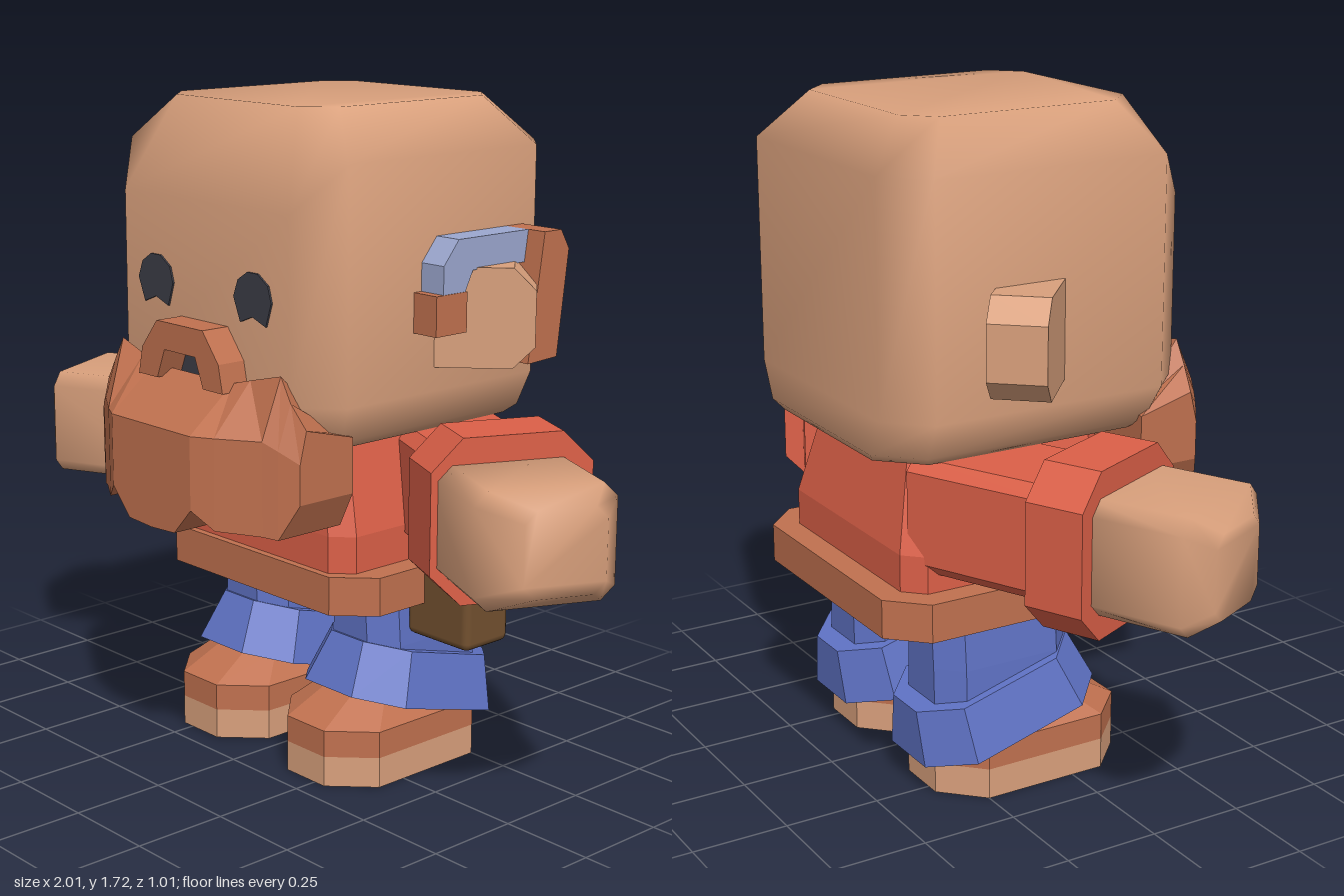
import * as THREE from 'three';
import { RoundedBoxGeometry } from 'three/addons/geometries/RoundedBoxGeometry.js';

const rad = THREE.MathUtils.degToRad;

// Closed skin over rings of equal length; rings run counter-clockwise seen from the far end.
function loft(rings, smooth = false) {
  const n = rings[0].length, last = (rings.length - 1) * n, index = [];
  for (let j = 0; j < rings.length - 1; j++) {
    for (let i = 0; i < n; i++) {
      const a = j * n + i, b = j * n + (i + 1) % n;
      index.push(a, b, b + n, a, b + n, a + n);
    }
  }
  for (let i = 1; i < n - 1; i++) index.push(0, i + 1, i, last, last + i, last + i + 1);
  let geo = new THREE.BufferGeometry();
  geo.setAttribute('position', new THREE.Float32BufferAttribute(rings.flat(2), 3));
  geo.setIndex(index);
  if (!smooth) geo = geo.toNonIndexed();
  geo.computeVertexNormals();
  return geo;
}

// Rectangle with cut corners at height y; yf is the height of its front edge.
function ring(y, hx, zf, zb, c, yf = y) {
  return [
    [hx - c, yf, zf], [hx, y, zf - c], [hx, y, zb + c], [hx - c, y, zb],
    [c - hx, y, zb], [-hx, y, zb + c], [-hx, y, zf - c], [c - hx, yf, zf],
  ];
}

// Flat outline pushed out by depth.
function plate(points, depth) {
  const shape = new THREE.Shape(points.map(([x, y]) => new THREE.Vector2(x, y)));
  return new THREE.ExtrudeGeometry(shape, { depth, bevelEnabled: false });
}

export function createModel() {
  const model = new THREE.Group();
  model.name = 'beardedFigure';
  const material = (name, color) => {
    const m = new THREE.MeshStandardMaterial({ color });
    m.name = name;
    return m;
  };
  const skin = material('skin', 0xd9a07c);
  const hair = material('gingerBrown', 0xc0714f);
  const red = material('redShirt', 0xdc6048);
  const blue = material('blueTrousers', 0x5f72c4);
  const leather = material('darkLeather', 0x72502f);
  const metal = material('paleBlue', 0x9ca7cf);
  const dark = material('darkGrey', 0x3c3d47);
  const add = (name, geo, mat) => {
    const mesh = new THREE.Mesh(geo, mat);
    mesh.name = name;
    model.add(mesh);
    return mesh;
  };

  // Head
  add('head', loft([
    ring(0.9, 0.34, 0.28, -0.49, 0.1),
    ring(0.925, 0.37, 0.31, -0.51, 0.1),
    ring(1.02, 0.415, 0.33, -0.51, 0.1),
    ring(1.6, 0.415, 0.33, -0.51, 0.1, 1.48),
    ring(1.72, 0.3, 0.225, -0.4, 0.07),
  ], true), skin);

  // Beard, lofted from side to side: x, bottom y, top y, top z, bulge y, bulge z
  const half = [
    [0.39, 0.8, 0.98, 0.34, 0.9, 0.36],
    [0.345, 0.71, 1.04, 0.35, 0.93, 0.39],
    [0.31, 0.715, 1.1, 0.35, 0.95, 0.41],
    [0.21, 0.72, 1.075, 0.36, 0.95, 0.475],
    [0.155, 0.765, 1.06, 0.37, 0.95, 0.505],
    [0.09, 0.695, 1.06, 0.37, 0.95, 0.505],
  ];
  const columns = [
    ...half.map(([x, ...rest]) => [-x, ...rest]),
    [0, 0.69, 1.06, 0.37, 0.95, 0.505],
    ...half.slice().reverse(),
  ];
  add('beard', loft(columns.map(([x, yb, yt, zt, ym, zm]) => [
    [x, yb, zm], [x, yb, 0.19], [x, 0.94, 0.19], [x, yt, zt], [x, ym, zm],
  ])), hair);

  // Moustache and mouth
  add('moustache', plate([
    [-0.165, 1.04], [-0.15, 1.11], [-0.09, 1.185], [0.09, 1.185], [0.15, 1.11], [0.165, 1.04],
    [0.09, 1.04], [0.06, 1.115], [-0.06, 1.115], [-0.09, 1.04],
  ], 0.11).translate(0, 0, 0.3), hair);
  add('mouth', plate([[-0.095, 1.03], [0.095, 1.03], [0.065, 1.12], [-0.065, 1.12]], 0.008)
    .translate(0, 0, 0.328), dark);

  // Hearing piece on the left side of the head, drawn in (-z, y)
  const side = (points, x0, x1) => plate(points, x1 - x0).rotateY(Math.PI / 2).translate(x0, 0, 0);
  add('earBand', side([
    [0.01, 1.275], [0.01, 1.345], [0.06, 1.405], [0.31, 1.405],
    [0.3, 1.325], [0.11, 1.325], [0.085, 1.275],
  ], 0.39, 0.49), metal);
  add('earBandTip', side([[-0.015, 1.175], [0.09, 1.175], [0.09, 1.275], [-0.015, 1.275]],
    0.39, 0.492), hair);
  add('earBandBack', side([
    [0.305, 1.405], [0.365, 1.405], [0.395, 1.355], [0.36, 1.085], [0.255, 1.08],
  ], 0.39, 0.545), hair);

  // Shirt and belt
  add('shirt', loft([
    ring(0.54, 0.33, 0.17, -0.44, 0.05),
    ring(0.66, 0.33, 0.17, -0.44, 0.05),
    ring(0.92, 0.27, 0.15, -0.38, 0.05),
  ]), red);
  add('belt', loft([ring(0.465, 0.395, 0.19, -0.505, 0.09), ring(0.565, 0.395, 0.19, -0.505, 0.09)]), hair);
  add('pouch', new RoundedBoxGeometry(0.215, 0.235, 0.155, 2, 0.02)
    .translate(0.4375, 0.487, -0.133), leather);

  for (const s of [1, -1]) {
    const name = (part) => (s > 0 ? 'left' : 'right') + part;
    // Lays an upright part sideways, turns it outwards and puts it in place.
    const lay = (geo, deg, x, y, z) =>
      geo.rotateZ(-s * Math.PI / 2).rotateY(s * rad(deg)).translate(s * x, y, z);

    // Eyes
    add(name('Eye'), plate([
      [-0.07, 0], [-0.053, 0.043], [-0.018, 0.065], [0.02, 0.065], [0.058, 0.04],
      [0.07, 0], [0.05, -0.06], [0, -0.042], [-0.045, -0.06],
    ], 0.008).translate(s * 0.188, 1.265, 0.327), dark);

    // Ears
    add(name('Ear'), lay(loft([
      ring(-0.072, 0.125, 0, -0.3, 0.055), ring(0.072, 0.125, 0, -0.3, 0.055),
    ]), 132, 0.55, 1.205, -0.275), skin);

    // Arms
    const arm = (part, rings, mat, smooth) =>
      add(name(part), lay(loft(rings, smooth), -25, 0.62, 0.755, -0.085), mat);
    arm('Sleeve', [ring(-0.45, 0.145, 0.157, -0.157, 0.03), ring(0, 0.145, 0.157, -0.157, 0.03)], red);
    arm('Cuff', [ring(-0.077, 0.208, 0.208, -0.208, 0.08), ring(0.077, 0.208, 0.208, -0.208, 0.08)], red);
    arm('Hand', [
      ring(0, 0.143, 0.19, -0.165, 0.035),
      ring(0.31, 0.143, 0.19, -0.165, 0.035),
      ring(0.37, 0.105, 0.09, -0.115, 0.03),
    ], skin, true);

    // Legs with tilted, flared trouser cuffs
    add(name('Leg'), loft([
      ring(0.18, 0.13, 0.035, -0.35, 0.06),
      ring(0.34, 0.125, 0.035, -0.35, 0.06),
      ring(0.5, 0.113, 0.035, -0.35, 0.06),
    ]).translate(s * 0.217, 0, 0), blue);
    add(name('TrouserCuff'), loft([
      ring(-0.07, 0.188, 0.26, -0.26, 0.1), ring(0.07, 0.15, 0.23, -0.23, 0.09),
    ]).rotateX(-rad(15.5)).translate(s * 0.217, 0.225, -0.158), blue);

    // Shoes
    add(name('Sole'), loft([
      ring(0, 0.17, 0.187, -0.35, 0.1), ring(0.08, 0.17, 0.187, -0.35, 0.1),
    ]).translate(s * 0.215, 0, 0), skin);
    add(name('Shoe'), loft([
      ring(0.08, 0.17, 0.187, -0.35, 0.1),
      ring(0.15, 0.17, 0.187, -0.35, 0.1),
      ring(0.215, 0.11, 0.07, -0.28, 0.06),
    ]).translate(s * 0.215, 0, 0), hair);
  }
  return model;
}
